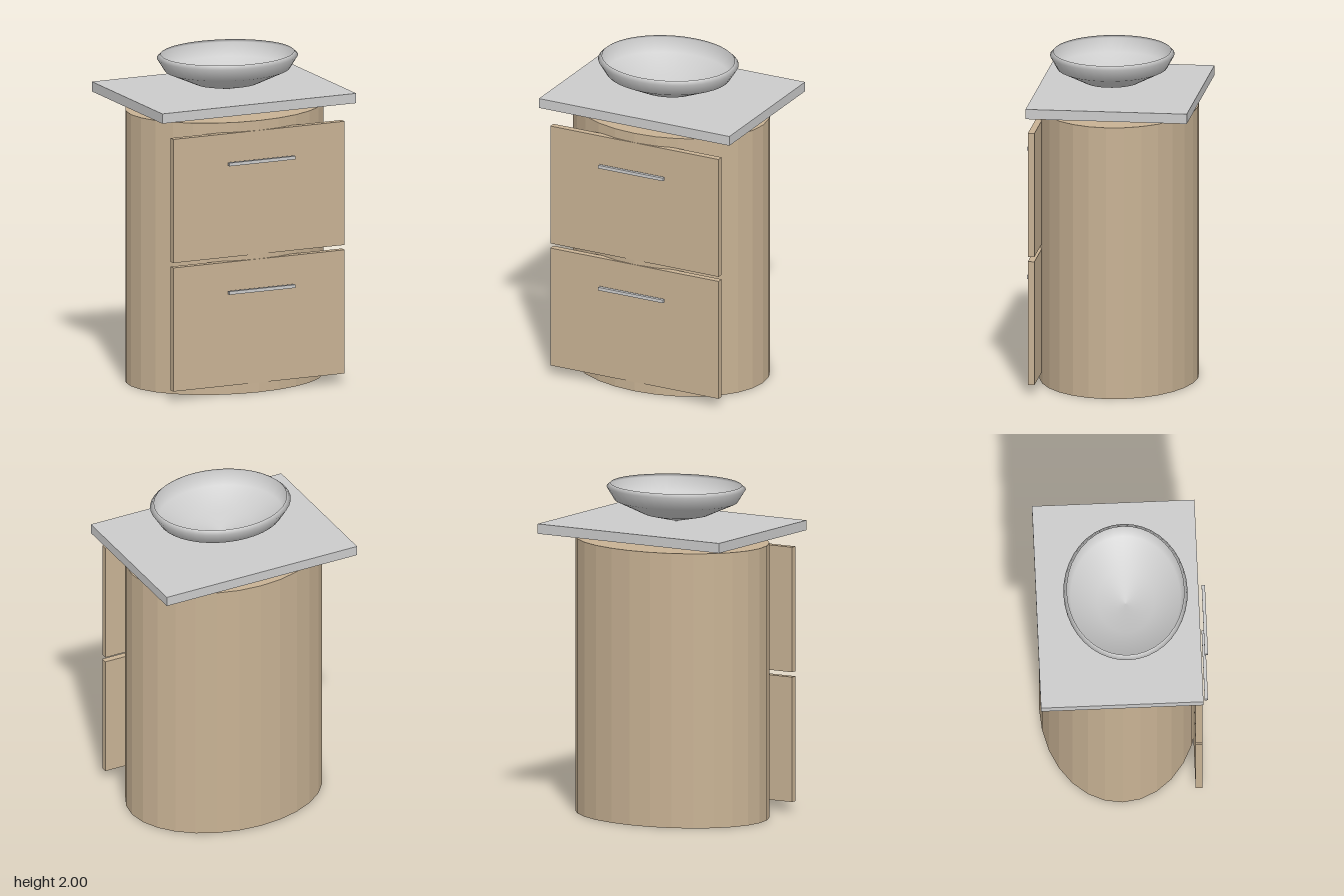
import * as THREE from 'three';

export function createModel() {
  const group = new THREE.Group();
  const wood = new THREE.MeshStandardMaterial({ color: 0xc8b294, flatShading: true });
  const grey = new THREE.MeshStandardMaterial({ color: 0xcccccc });
  const ceramic = new THREE.MeshStandardMaterial({ color: 0xcccccc, side: THREE.DoubleSide });

  function add(name, geometry, material, x, y, z) {
    const mesh = new THREE.Mesh(geometry, material);
    mesh.name = name;
    mesh.position.set(x, y, z);
    group.add(mesh);
    return mesh;
  }

  // Oval cabinet body with faceted sides
  const body = new THREE.CylinderGeometry(1, 1, 1.67, 28);
  body.scale(0.62, 1, 0.477);
  add('cabinetBody', body, wood, 0, 0.835, -0.018);

  // Two drawer fronts, each with a floating bar handle
  [['lower', 0.44, 0.64], ['upper', 1.23, 1.43]].forEach(([level, y, handleY]) => {
    add(level + 'DrawerFront', new THREE.BoxGeometry(1.14, 0.76, 0.04), wood, 0, y, 0.441);
    add(level + 'DrawerHandle', new THREE.BoxGeometry(0.44, 0.02, 0.02), grey, 0, handleY, 0.5);
  });

  // Countertop slab
  add('countertop', new THREE.BoxGeometry(1.29, 0.06, 0.975), grey, 0, 1.745, -0.0225);

  // Oval vessel basin, an open shell with an inward-turned lip
  const profile = [[0, 0], [0.2, 0.043], [0.385, 0.125], [0.435, 0.203], [0.41, 0.225]]
    .map(([r, y]) => new THREE.Vector2(r, y));
  const basin = new THREE.LatheGeometry(profile, 40);
  basin.scale(1, 1, 0.857);
  add('basin', basin, ceramic, 0, 1.775, 0.024);

  return group;
}
